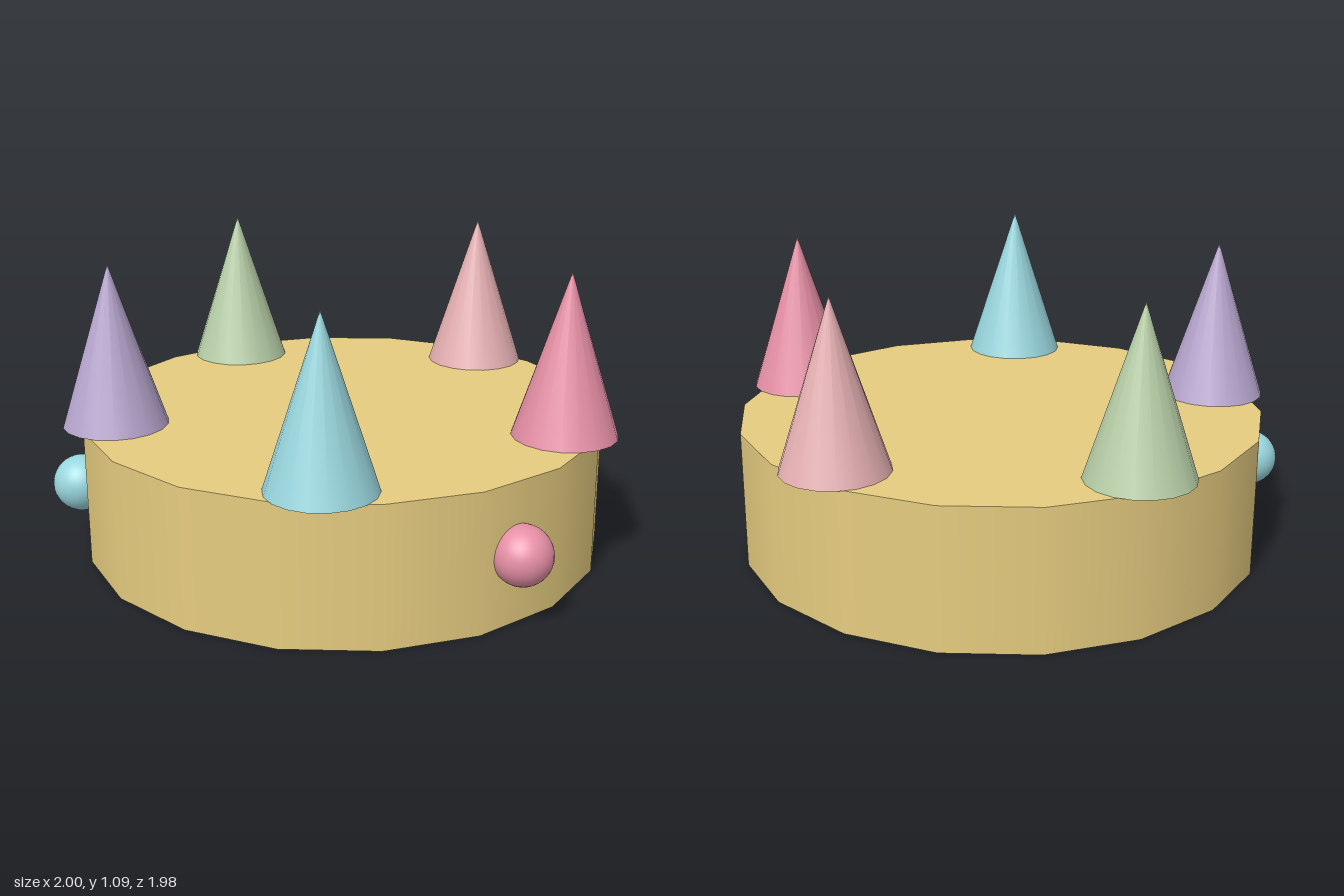
import * as THREE from 'three';

const CX = -0.034;      // centre of the round base
const SIDES = 18;
const BASE_H = 0.505;

function part(name, geometry, color, x, y, z) {
  const mesh = new THREE.Mesh(geometry, new THREE.MeshStandardMaterial({ color }));
  mesh.name = name;
  mesh.position.set(x, y, z);
  return mesh;
}

export function createModel() {
  const model = new THREE.Group();
  model.name = 'crown';

  // Solid band with a corner on the x axis
  const band = new THREE.CylinderGeometry(0.966, 0.966, BASE_H, SIDES).rotateY(Math.PI / 2);
  model.add(part('band', band, 0xe6cc80, CX, BASE_H / 2, 0));

  // Five spikes evenly spaced around the rim, starting at +x and going through +z
  const spikeH = 0.585;
  const spike = new THREE.ConeGeometry(0.189, spikeH, SIDES).rotateY(Math.PI / 2);
  const spikes = new THREE.Group();
  spikes.name = 'spikes';
  [0xe68fa6, 0x99d6de, 0xb8a6cf, 0xb8cfa8, 0xe6b0b3].forEach((color, i) => {
    const a = (i / 5) * Math.PI * 2;
    spikes.add(part('spike' + (i + 1), spike, color,
      CX + 0.843 * Math.cos(a), BASE_H + spikeH / 2, 0.843 * Math.sin(a)));
  });
  model.add(spikes);

  // Two round gems half sunk into the front of the band
  const gem = new THREE.SphereGeometry(0.104, 32, 20);
  for (const [name, side, color] of [['leftGem', 1, 0xe68fa6], ['rightGem', -1, 0x99d6de]]) {
    model.add(part(name, gem, color, CX + side * 0.84, 0.255, 0.503));
  }

  return model;
}
